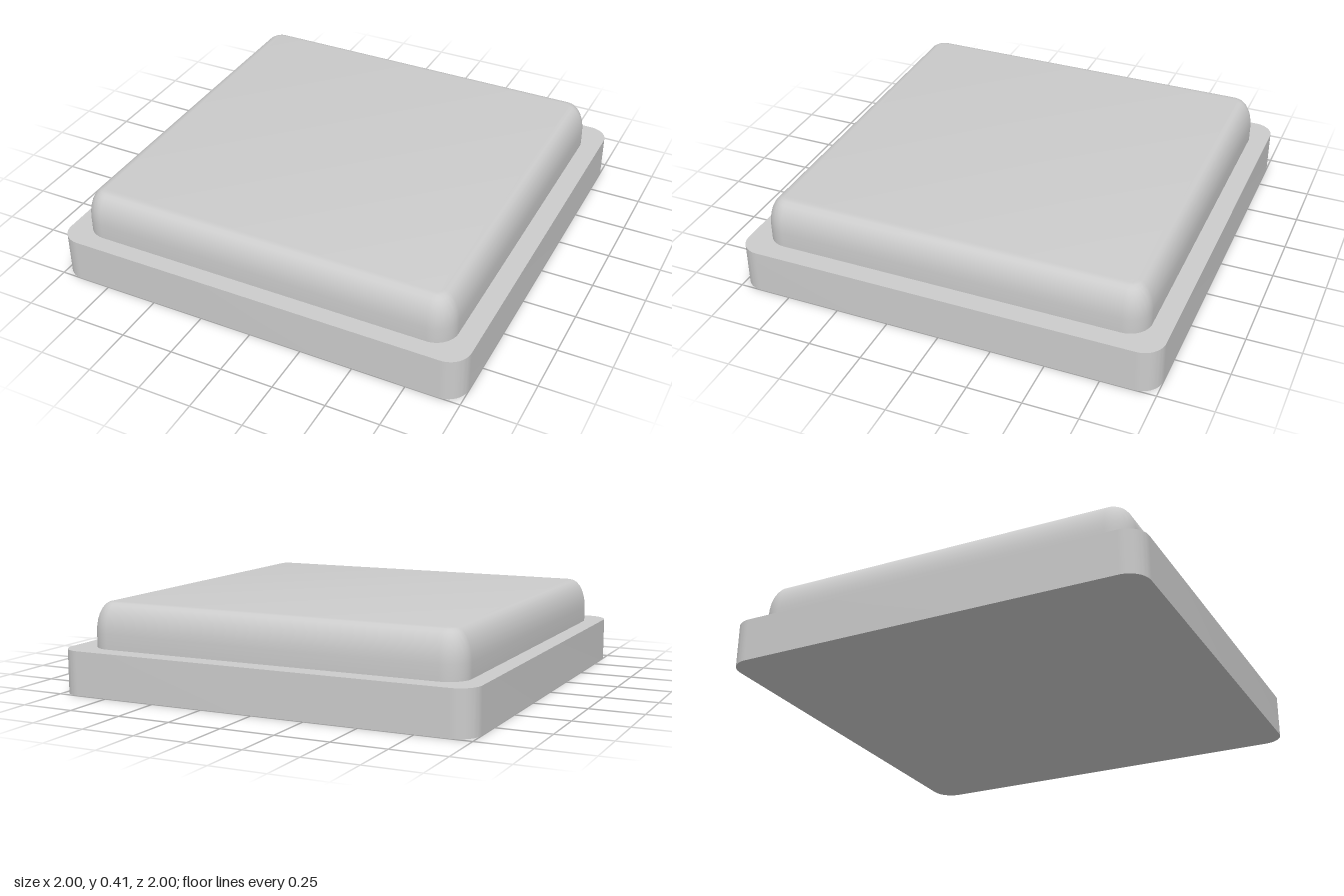
import * as THREE from 'three';
import { toCreasedNormals } from 'three/addons/utils/BufferGeometryUtils.js';

const material = new THREE.MeshStandardMaterial({ color: 0xcccccc });

// Square outline with rounded corners, centred on the origin
function roundedSquare(half, radius) {
  const shape = new THREE.Shape();
  const c = half - radius;
  const q = Math.PI / 2;
  [[c, c], [-c, c], [-c, -c], [c, -c]].forEach(([x, y], i) =>
    shape.absarc(x, y, radius, i * q, (i + 1) * q, false));
  shape.closePath();
  return shape;
}

// Upright slab made from an outline, starting at y = bottom
function slab(name, shape, bottom, options) {
  const geometry = new THREE.ExtrudeGeometry(shape, options);
  geometry.rotateX(-Math.PI / 2);
  const mesh = new THREE.Mesh(toCreasedNormals(geometry, 0.7), material);
  mesh.name = name;
  mesh.position.y = bottom;
  return mesh;
}

export function createModel() {
  const group = new THREE.Group();
  group.name = 'squareButton';

  // Flat base plate
  group.add(slab('base', roundedSquare(1, 0.1), 0,
    { depth: 0.205, bevelEnabled: false, curveSegments: 10 }));

  // Cap with a soft elliptical shoulder; its lower bevel is sunk in the base
  const cap = slab('cap', roundedSquare(0.837, 0.03), 0.205, {
    depth: 0.07, curveSegments: 8,
    bevelEnabled: true, bevelThickness: 0.14, bevelSize: 0.075, bevelSegments: 7,
  });
  cap.position.x = -0.007;
  cap.position.z = 0.004;
  group.add(cap);

  return group;
}
